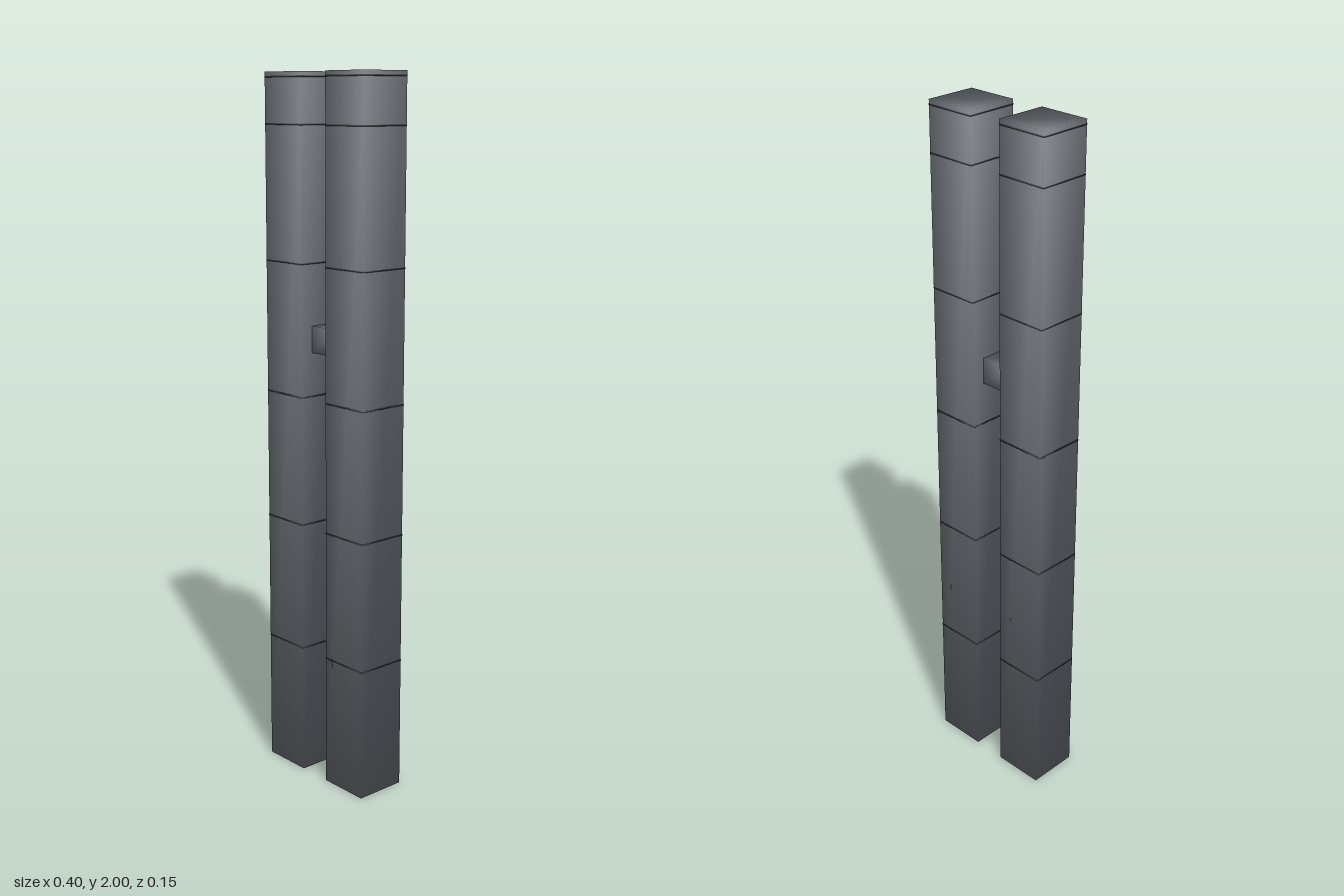
import * as THREE from 'three';
import { mergeVertices } from 'three/addons/utils/BufferGeometryUtils.js';

// Box with shared corners whose normals point out diagonally (soft shading)
function softBox(w, h, d) {
  const g = new THREE.BoxGeometry(w, h, d);
  g.deleteAttribute('uv');
  g.deleteAttribute('normal');
  const m = mergeVertices(g);
  const p = m.attributes.position;
  const n = [];
  for (let i = 0; i < p.count; i++) {
    const v = new THREE.Vector3(Math.sign(p.getX(i)), Math.sign(p.getY(i)), Math.sign(p.getZ(i))).normalize();
    n.push(v.x, v.y, v.z);
  }
  m.setAttribute('normal', new THREE.Float32BufferAttribute(n, 3));
  m.clearGroups();
  return m;
}

export function createModel() {
  const model = new THREE.Group();
  const grey = new THREE.MeshStandardMaterial({ color: 0x5c6066 });
  grey.name = 'slate grey';
  const dark = new THREE.MeshStandardMaterial({ color: 0x25272a });
  dark.name = 'seam charcoal';

  const add = (parent, name, geometry, material, x, y) => {
    const mesh = new THREE.Mesh(geometry, material);
    mesh.name = name;
    mesh.position.set(x, y, 0);
    parent.add(mesh);
  };

  // Two square posts, each ringed by thin seams
  const seams = [0.379, 0.75, 1.12, 1.491, 1.862, 1.987];
  for (const [name, x] of [['leftPost', 0.125], ['rightPost', -0.125]]) {
    const post = new THREE.Group();
    post.name = name;
    post.position.x = x;
    model.add(post);
    add(post, 'shaft', softBox(0.15, 2, 0.15), grey, 0, 1);
    for (const y of seams) add(post, 'seam', softBox(0.151, 0.004, 0.151), dark, 0, y);
  }

  // Short bar joining the posts
  add(model, 'crossbar', softBox(0.1, 0.075, 0.075), grey, 0, 1.28);
  return model;
}
